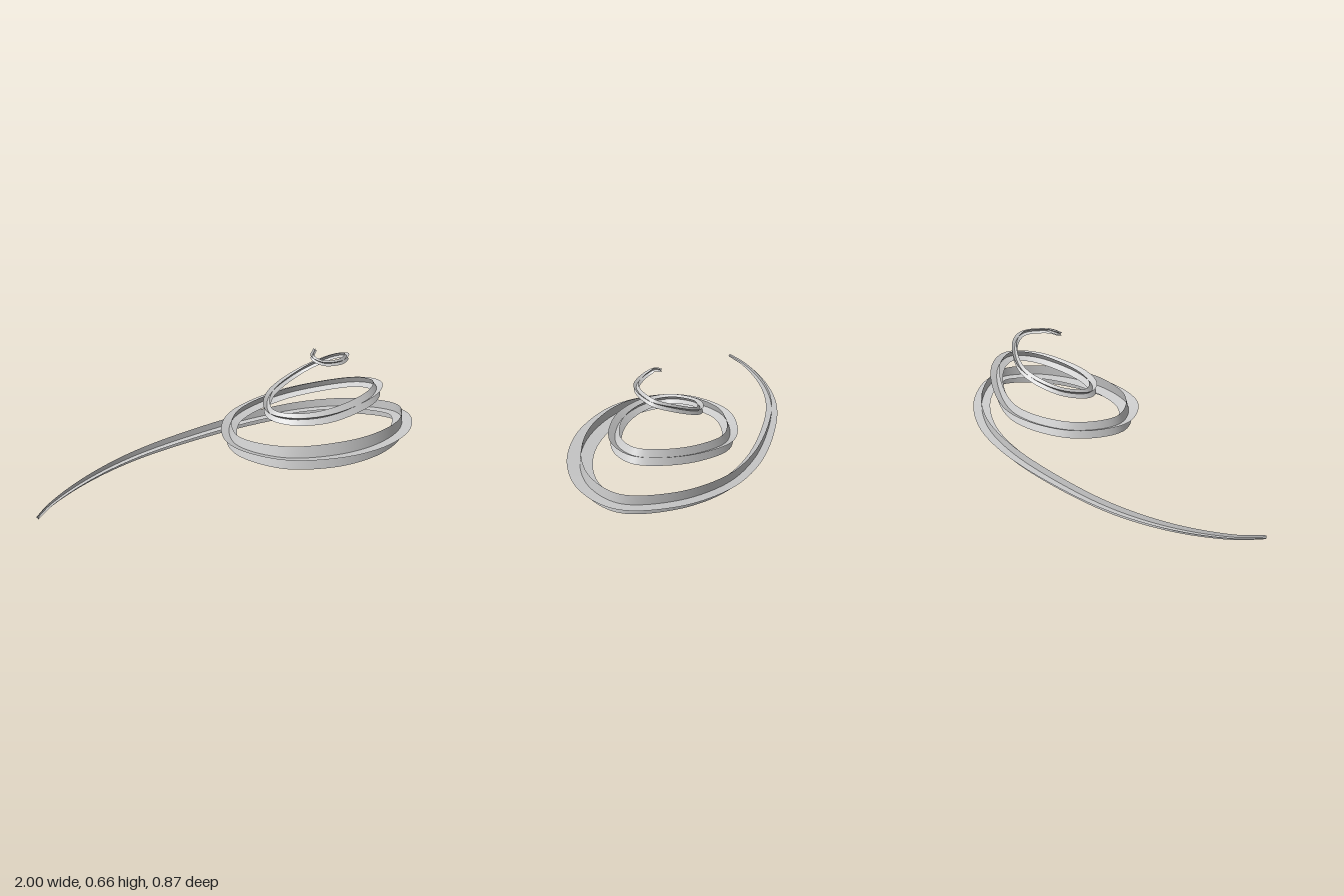
import * as THREE from 'three';

// centre line of the tendril: x, y, z, half width of the ribbons
const STATIONS = [
  [-0.995, 0.01, 0.04, 0.01], [-0.9, 0.013, -0.07, 0.014], [-0.69, 0.028, -0.22, 0.021],
  [-0.43, 0.053, -0.33, 0.028], [-0.13, 0.085, -0.385, 0.034], [0.3, 0.135, -0.395, 0.041],
  [0.59, 0.175, -0.33, 0.044], [0.83, 0.215, -0.17, 0.046], [0.95, 0.242, 0.04, 0.048],
  [0.87, 0.243, 0.21, 0.054], [0.68, 0.24, 0.33, 0.06], [0.43, 0.238, 0.367, 0.062],
  [0.165, 0.236, 0.29, 0.056], [0.01, 0.239, 0.07, 0.044], [0.1, 0.255, -0.18, 0.041],
  [0.38, 0.287, -0.295, 0.039], [0.62, 0.345, -0.22, 0.037], [0.78, 0.395, -0.09, 0.036],
  [0.82, 0.41, 0.02, 0.036], [0.73, 0.4, 0.13, 0.036], [0.46, 0.367, 0.195, 0.035],
  [0.28, 0.356, 0.14, 0.03], [0.21, 0.36, 0.04, 0.026], [0.27, 0.395, -0.1, 0.022],
  [0.47, 0.47, -0.172, 0.019], [0.62, 0.555, -0.1, 0.018], [0.655, 0.59, -0.015, 0.017],
  [0.57, 0.602, 0.085, 0.016], [0.475, 0.608, 0.085, 0.014], [0.435, 0.63, 0.045, 0.012],
  [0.47, 0.652, 0.0, 0.01],
];
const SEGMENTS = 300;

// flat strip running along the path, built from left/right edge pairs
function ribbon(name, frames, axis, material) {
  const pos = [], index = [];
  frames.forEach((f, i) => {
    for (const s of [-1, 0, 1]) pos.push(...f.centre.clone().addScaledVector(f[axis], s * f.half).toArray());
    if (i === 0) return;
    for (let k = 0; k < 2; k++) {
      const a = (i - 1) * 3 + k, b = i * 3 + k;
      index.push(a, b, a + 1, b, b + 1, a + 1);
    }
  });
  const geo = new THREE.BufferGeometry();
  geo.setAttribute('position', new THREE.Float32BufferAttribute(pos, 3));
  geo.setIndex(index);
  geo.computeVertexNormals();
  const mesh = new THREE.Mesh(geo, material);
  mesh.name = name;
  return mesh;
}

export function createModel() {
  const group = new THREE.Group();
  group.name = 'spiralTendril';
  const material = new THREE.MeshStandardMaterial({ color: 0xcccccc, side: THREE.DoubleSide });
  const curve = new THREE.CatmullRomCurve3(STATIONS.map(([x, y, z]) => new THREE.Vector3(x, y, z)));
  const up = new THREE.Vector3(0, 1, 0);

  // frames along the path: outward and upright axes, slowly rolling toward the tip
  const frames = [];
  for (let i = 0; i <= SEGMENTS; i++) {
    const t = i / SEGMENTS, u = t * (STATIONS.length - 1);
    const k = Math.min(Math.floor(u), STATIONS.length - 2);
    const tangent = curve.getTangent(t);
    const side = new THREE.Vector3().crossVectors(up, tangent).normalize();
    const normal = new THREE.Vector3().crossVectors(tangent, side).normalize();
    const roll = THREE.MathUtils.clamp((u - 7) * 0.05, 0, 0.65);
    const c = Math.cos(roll), s = Math.sin(roll);
    frames.push({
      centre: curve.getPoint(t),
      half: THREE.MathUtils.lerp(STATIONS[k][3], STATIONS[k + 1][3], u - k),
      outward: side.clone().multiplyScalar(c).addScaledVector(normal, s),
      upright: normal.clone().multiplyScalar(c).addScaledVector(side, -s),
    });
  }

  // two crossed strips form the tendril
  group.add(ribbon('flatRibbon', frames, 'outward', material));
  group.add(ribbon('uprightRibbon', frames, 'upright', material));
  return group;
}
